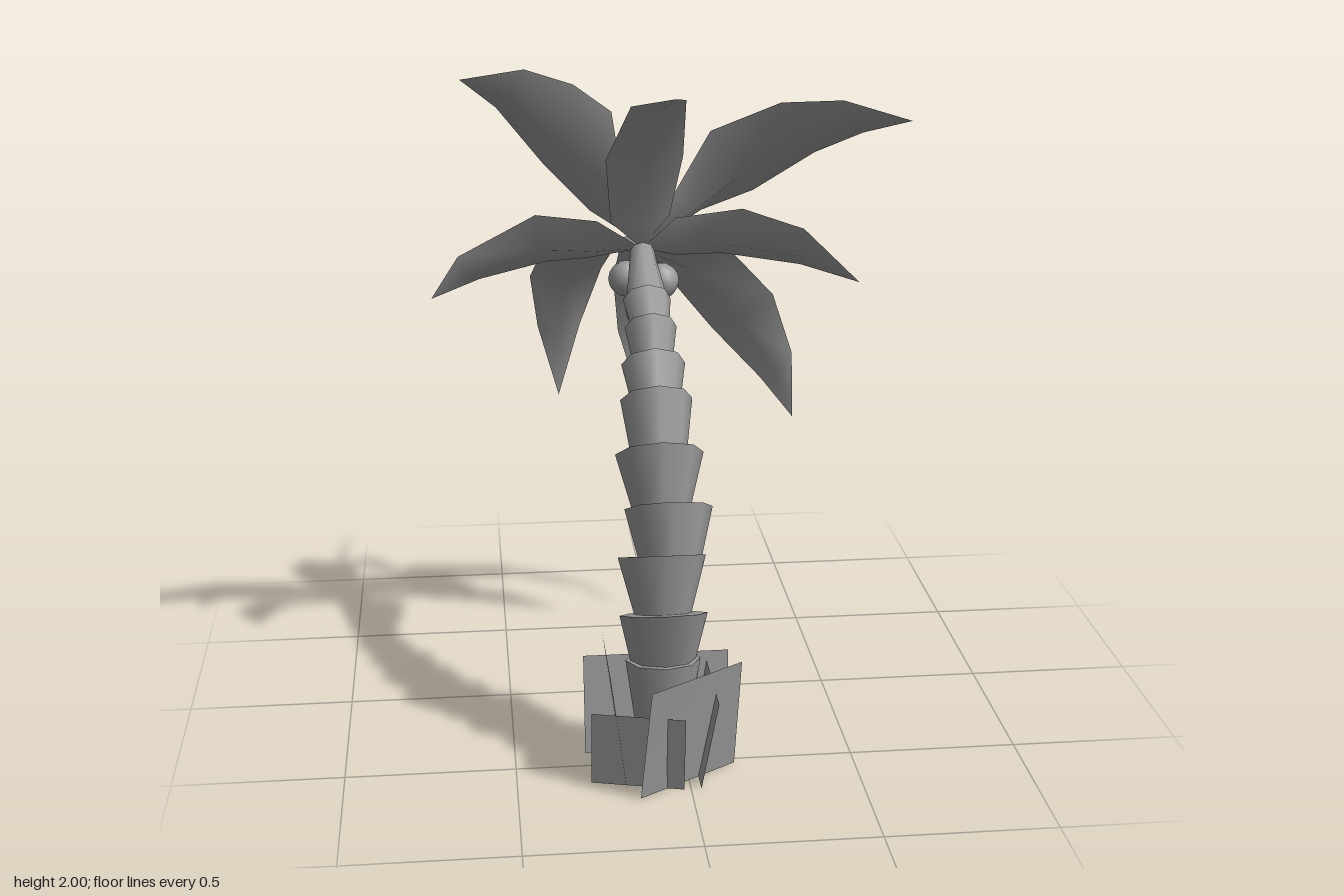
import * as THREE from 'three';

const grey = new THREE.MeshStandardMaterial({ color: 0x9a9a9a });
const thin = new THREE.MeshStandardMaterial({ color: 0x9a9a9a, side: THREE.DoubleSide });
const X = -0.065; // trunk line

function add(parent, name, geometry, material) {
  const mesh = new THREE.Mesh(geometry, material);
  mesh.name = name;
  parent.add(mesh);
  return mesh;
}

function surface(points, index) {
  const g = new THREE.BufferGeometry();
  g.setAttribute('position', new THREE.Float32BufferAttribute(points.flat(), 3));
  g.setIndex(index);
  g.computeVertexNormals();
  return g;
}

// Flared trunk ring: a sheared cylinder whose ends both tilt backwards
function trunkRing([x, z0, y0, r0, z1, y1, r1, tilt]) {
  const t = THREE.MathUtils.degToRad(tilt);
  const shear = new THREE.Matrix4().makeBasis(
    new THREE.Vector3(1, 0, 0),
    new THREE.Vector3(0, y1 - y0, z1 - z0),
    new THREE.Vector3(0, Math.sin(t), Math.cos(t)),
  ).setPosition(x, y0, z0);
  return new THREE.CylinderGeometry(r1, r0, 1, 8).translate(0, 0.5, 0).applyMatrix4(shear);
}

// Leaf from two edges running base to tip, with a sunken midrib
function leaf(edgeA, edgeB, tip) {
  const base = [X, 1.415, -0.13];
  const pts = [base];
  const index = [];
  const a = new THREE.Vector3(), b = new THREE.Vector3();
  const along = new THREE.Vector3(), n = new THREE.Vector3();
  edgeA.forEach((pa, i) => {
    a.fromArray(pa);
    b.fromArray(edgeB[i]);
    const mid = a.clone().add(b).multiplyScalar(0.5);
    along.fromArray(tip).sub(new THREE.Vector3(...base));
    n.crossVectors(a.clone().sub(b), along).normalize();
    if (n.y < 0) n.negate();
    mid.addScaledVector(n, -0.2 * a.distanceTo(b));
    pts.push(pa, mid.toArray(), edgeB[i]);
  });
  pts.push(tip);
  const rows = edgeA.length, last = pts.length - 1;
  index.push(0, 2, 1, 0, 3, 2);
  for (let r = 0; r < rows - 1; r++) {
    for (let k = 1; k <= 2; k++) {
      const q = r * 3 + k;
      index.push(q, q + 1, q + 3, q + 1, q + 4, q + 3);
    }
  }
  const e = (rows - 1) * 3 + 1;
  index.push(e, e + 1, last, e + 1, e + 2, last);
  return surface(pts, index);
}

export function createModel() {
  const model = new THREE.Group();
  model.name = 'palmTree';

  // Trunk: x, bottom z, y, radius, top z, y, radius, tilt in degrees
  const trunk = new THREE.Group();
  trunk.name = 'trunk';
  model.add(trunk);
  [
    [X, 0.5, 0.01, 0.065, 0.51, 0.34, 0.11, 8],
    [X, 0.5, 0.25, 0.078, 0.53, 0.49, 0.128, 20],
    [X, 0.51, 0.46, 0.078, 0.48, 0.65, 0.128, 22],
    [-0.042, 0.5, 0.61, 0.083, 0.445, 0.785, 0.128, 28],
    [X, 0.475, 0.76, 0.076, 0.41, 0.94, 0.128, 33],
    [X, 0.41, 0.905, 0.077, 0.32, 1.075, 0.105, 39],
    [X, 0.335, 1.035, 0.065, 0.23, 1.155, 0.094, 45],
    [X, 0.24, 1.125, 0.052, 0.155, 1.245, 0.077, 48],
    [X, 0.185, 1.22, 0.05, 0.035, 1.298, 0.072, 52],
    [X, 0.055, 1.288, 0.064, -0.11, 1.415, 0.036, 52],
  ].forEach((r, i) => add(trunk, 'trunkRing' + (i + 1), trunkRing(r), grey));

  // Coconuts
  [[-0.065, 1.238, -0.06], [-0.007, 1.315, -0.115], [-0.11, 1.315, -0.155]].forEach((p, i) =>
    add(model, 'coconut' + (i + 1), new THREE.SphereGeometry(0.056, 10, 8), grey).position.set(...p));

  // Crown of leaves: edge, opposite edge, tip
  const crown = new THREE.Group();
  crown.name = 'crown';
  model.add(crown);
  const leaves = {
    leafUpperRight: [
      [[-0.12, 1.6, -0.1], [-0.16, 1.85, -0.05], [-0.275, 1.94, 0.0], [-0.42, 2.0, 0.09]],
      [[-0.13, 1.46, -0.21], [-0.215, 1.51, -0.25], [-0.36, 1.67, -0.21], [-0.5, 1.87, -0.04]],
      [-0.605, 2.0, 0.26]],
    leafFront: [
      [[0.02, 1.52, -0.12], [0.05, 1.72, -0.02], [0.04, 1.915, 0.15]],
      [[-0.16, 1.5, -0.12], [-0.18, 1.71, -0.03], [-0.12, 1.9, 0.16]],
      [-0.01, 1.94, 0.29]],
    leafUpperLeft: [
      [[0.04, 1.6, -0.11], [0.14, 1.78, -0.09], [0.345, 1.87, -0.04], [0.52, 1.885, 0.03]],
      [[0.135, 1.5, -0.27], [0.3, 1.555, -0.29], [0.475, 1.69, -0.19], [0.6, 1.77, -0.07]],
      [0.71, 1.835, 0.11]],
    leafMiddleRight: [
      [[-0.2, 1.5, -0.14], [-0.385, 1.51, -0.2], [-0.625, 1.38, -0.22]],
      [[-0.22, 1.35, -0.29], [-0.35, 1.33, -0.335], [-0.56, 1.285, -0.31]],
      [-0.71, 1.25, -0.215]],
    leafMiddleLeft: [
      [[0.04, 1.51, -0.12], [0.24, 1.54, -0.09], [0.425, 1.48, -0.06]],
      [[0.05, 1.37, -0.22], [0.2, 1.36, -0.27], [0.435, 1.34, -0.18]],
      [0.595, 1.315, -0.035]],
    leafLowerLeft: [
      [[0.22, 1.37, -0.33], [0.395, 1.17, -0.46], [0.455, 0.98, -0.425]],
      [[0.03, 1.26, -0.5], [0.21, 1.03, -0.575], [0.36, 0.88, -0.49]],
      [0.44, 0.8, -0.305]],
    leafLowerRight: [
      [[-0.04, 1.42, -0.35], [-0.1, 1.36, -0.5], [-0.155, 1.235, -0.61], [-0.225, 1.03, -0.67]],
      [[-0.235, 1.4, -0.31], [-0.35, 1.34, -0.48], [-0.39, 1.21, -0.62], [-0.365, 1.02, -0.685]],
      [-0.3, 0.79, -0.65]],
    leafBack: [
      [[0.0, 1.38, -0.28], [0.02, 1.25, -0.45], [-0.02, 1.05, -0.525]],
      [[-0.12, 1.38, -0.28], [-0.13, 1.25, -0.43], [-0.11, 1.05, -0.5]],
      [-0.055, 0.865, -0.5]],
    youngShoot: [
      [[-0.058, 1.455, -0.28], [-0.06, 1.478, -0.53]],
      [[-0.072, 1.475, -0.28], [-0.07, 1.49, -0.53]],
      [-0.065, 1.455, -0.755]],
  };
  for (const [name, [a, b, tip]] of Object.entries(leaves)) add(crown, name, leaf(a, b, tip), thin);

  // Planter boards leaning outwards: bottom pair, then top pair of corners
  const planter = new THREE.Group();
  planter.name = 'planter';
  model.add(planter);
  const boards = {
    boardFrontLeft: [[-0.15, 0, 0.715], [0.145, 0, 0.525], [0.16, 0.345, 0.565], [-0.12, 0.345, 0.752]],
    boardFrontRight: [[-0.285, 0, 0.605], [-0.02, 0, 0.675], [-0.02, 0.24, 0.715], [-0.285, 0.24, 0.645]],
    boardLeft: [[0.03, 0, 0.675], [0.03, 0, 0.35], [0.08, 0.265, 0.35], [0.08, 0.265, 0.675]],
    boardRight: [[-0.185, 0, 0.35], [-0.185, 0, 0.675], [-0.23, 0.355, 0.675], [-0.23, 0.355, 0.35]],
    boardBack: [[0.145, 0, 0.42], [-0.29, 0, 0.42], [-0.29, 0.295, 0.37], [0.145, 0.295, 0.37]],
  };
  for (const [name, c] of Object.entries(boards)) add(planter, name, surface(c, [0, 1, 2, 0, 2, 3]), thin);

  return model;
}
